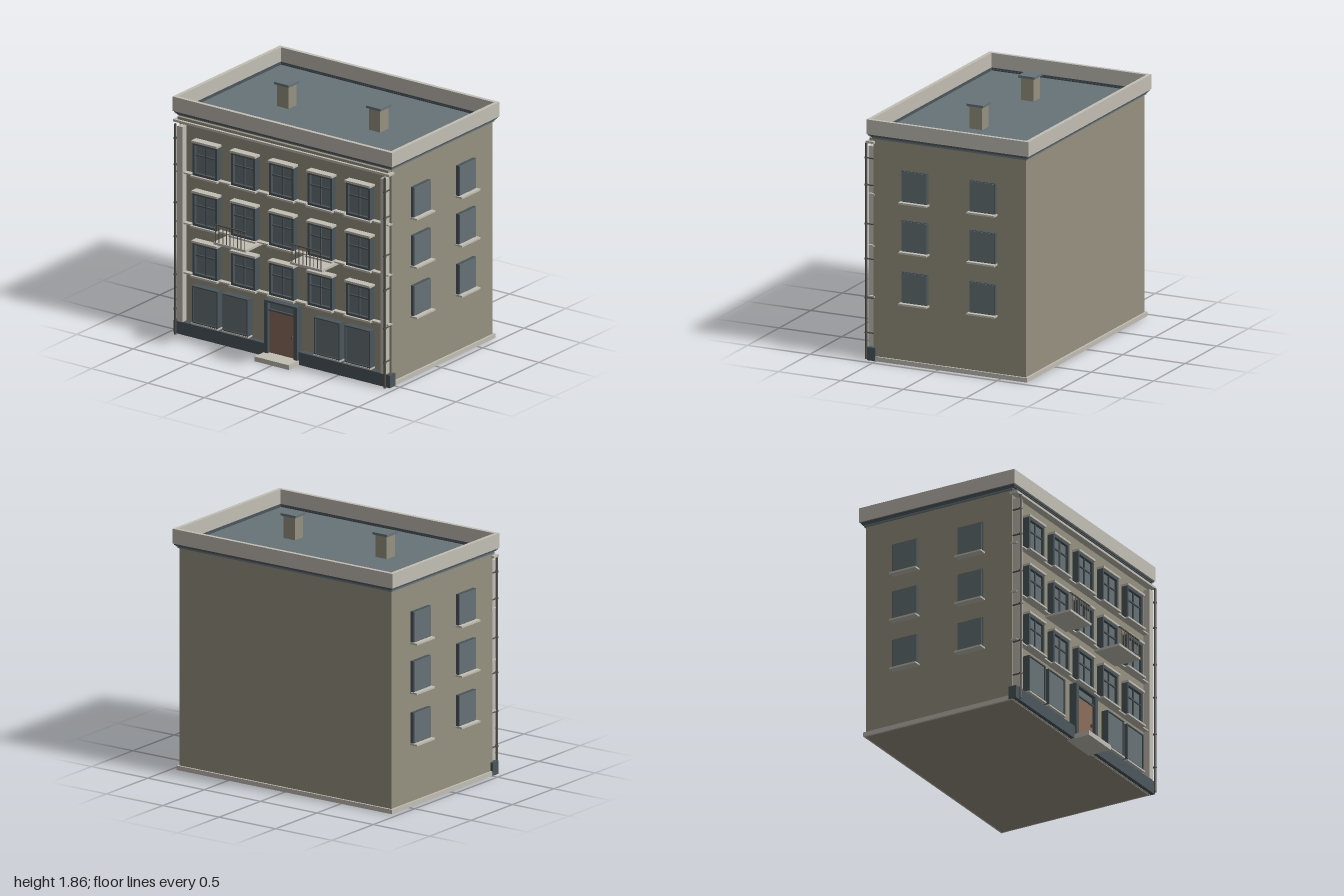
import * as THREE from 'three';

const mat = (name, color) => Object.assign(new THREE.MeshStandardMaterial({ color }), { name });

export function createModel() {
  const wall = mat('stucco', 0x969180);
  const trim = mat('pale stone', 0xc2beb4);
  const slate = mat('slate roof', 0x687479);
  const dark = mat('dark frame', 0x4b565b);
  const glass = mat('window glass', 0x667276);
  const wood = mat('door wood', 0x8a6c5b);
  const metal = mat('dark metal', 0x55534c);

  const model = new THREE.Group();
  model.name = 'apartmentBuilding';
  const group = (name, parent = model) => {
    const g = new THREE.Group();
    g.name = name;
    parent.add(g);
    return g;
  };
  // box given by its minimum and maximum on each axis
  const box = (name, m, x0, x1, y0, y1, z0, z1, parent = model) => {
    const mesh = new THREE.Mesh(new THREE.BoxGeometry(x1 - x0, y1 - y0, z1 - z0), m);
    mesh.position.set((x0 + x1) / 2, (y0 + y1) / 2, (z0 + z1) / 2);
    mesh.name = name;
    parent.add(mesh);
    return mesh;
  };
  const rod = (name, m, r, x, y0, y1, z, parent) => {
    const mesh = new THREE.Mesh(new THREE.CylinderGeometry(r, r, y1 - y0, 10), m);
    mesh.position.set(x, (y0 + y1) / 2, z);
    mesh.name = name;
    parent.add(mesh);
  };
  // hollow rectangle around the roof
  const ring = (name, m, x, y0, y1, zb, zf, t) => {
    const rect = (P, a, b, c) => new P([[-a, b], [a, b], [a, c], [-a, c]].map(p => new THREE.Vector2(...p)));
    const s = rect(THREE.Shape, x, -zf, -zb);
    s.holes.push(rect(THREE.Path, x - t, -zf + t, -zb - t));
    const geo = new THREE.ExtrudeGeometry(s, { depth: y1 - y0, bevelEnabled: false });
    geo.rotateX(-Math.PI / 2).translate(0, y0, 0);
    const mesh = new THREE.Mesh(geo, m);
    mesh.name = name;
    model.add(mesh);
  };

  // main block, base and roof
  box('walls', wall, -0.94, 0.94, 0, 1.66, -0.7, 0.52);
  box('baseCourse', trim, -0.955, 0.955, 0.002, 0.035, -0.715, 0.535);
  box('roof', slate, -0.95, 0.95, 1.655, 1.672, -0.71, 0.53);
  ring('corniceLower', dark, 0.958, 1.67, 1.682, -0.72, 0.545, 0.02);
  ring('corniceUpper', dark, 0.967, 1.68, 1.692, -0.728, 0.552, 0.025);
  ring('parapet', trim, 0.975, 1.69, 1.8, -0.737, 0.56, 0.029);

  // chimneys
  for (const x of [-0.41, 0.405]) {
    const g = group('chimney');
    box('chimneyStack', wall, x - 0.05, x + 0.05, 1.66, 1.84, -0.102, -0.002, g);
    box('chimneyCap', slate, x - 0.065, x + 0.065, 1.84, 1.858, -0.117, 0.013, g);
  }

  // front facade bands, pilasters and plinth
  box('frieze', wall, -0.935, 0.935, 1.635, 1.655, 0.51, 0.555);
  box('friezeMoulding', trim, -0.96, 0.96, 1.618, 1.635, 0.51, 0.575);
  for (const y of [0.475, 0.853, 1.237]) {
    box('stringCourse', trim, -0.945, 0.945, y - 0.005, y + 0.006, 0.51, 0.558);
  }
  for (const s of [-1, 1]) {
    const [a, b] = [s * 0.88, s * 0.925].sort((p, q) => p - q);
    box('pilaster', trim, a, b, 0.1, 1.59, 0.51, 0.57);
    const [c, d] = [s * 0.145, s * 0.96].sort((p, q) => p - q);
    box('plinth', dark, c, d, 0.003, 0.1, 0.5, 0.565);

    // drainpipe with clamps
    const g = group('drainpipe');
    rod('pipe', metal, 0.009, s * 0.93, 0.003, 1.61, 0.585, g);
    for (const y of [0.2, 0.46, 0.75, 1.01, 1.3, 1.5]) {
      rod('pipeClamp', metal, 0.013, s * 0.93, y - 0.005, y + 0.005, 0.585, g);
      box('pipeBracket', metal, s * 0.93 - 0.004, s * 0.93 + 0.004, y - 0.004, y + 0.004, 0.51, 0.585, g);
    }
  }

  // framed opening: four bars around a glass pane
  const frame = (g, x0, x1, y0, y1, t, z) => {
    box('frameLeft', dark, x1 - t, x1, y0, y1, 0.51, z, g);
    box('frameRight', dark, x0, x0 + t, y0, y1, 0.51, z, g);
    box('frameTop', dark, x0 + t, x1 - t, y1 - t, y1, 0.51, z, g);
    box('frameBottom', dark, x0 + t, x1 - t, y0, y0 + t, 0.51, z, g);
  };

  // upper floor windows
  for (const y of [0.482, 0.862, 1.245]) {
    for (const x of [-0.68, -0.34, 0, 0.34, 0.68]) {
      const g = group('frontWindow');
      const top = y + 0.25;
      frame(g, x - 0.108, x + 0.108, y, top, 0.018, 0.57);
      box('pane', glass, x - 0.09, x + 0.09, y + 0.018, top - 0.018, 0.51, 0.548, g);
      box('mullion', dark, x - 0.005, x + 0.005, y + 0.018, top - 0.018, 0.54, 0.558, g);
      box('transomBar', dark, x - 0.09, x + 0.09, y + 0.148, y + 0.158, 0.54, 0.558, g);
      box('lintel', trim, x - 0.113, x + 0.113, top, top + 0.016, 0.51, 0.582, g);
      box('sill', trim, x - 0.118, x + 0.118, y - 0.014, y, 0.51, 0.587, g);
    }
  }

  // shop windows
  for (const x of [-0.678, -0.408, 0.408, 0.678]) {
    const g = group('shopWindow');
    frame(g, x - 0.113, x + 0.113, 0.12, 0.402, 0.009, 0.575);
    box('shopPane', glass, x - 0.104, x + 0.104, 0.129, 0.393, 0.51, 0.566, g);
    box('shopSill', trim, x - 0.117, x + 0.117, 0.108, 0.12, 0.51, 0.58, g);
  }

  // entrance
  const entry = group('entrance');
  for (const s of [-1, 1]) {
    box('doorPost', dark, s * 0.132 - 0.016, s * 0.132 + 0.016, 0.03, 0.44, 0.51, 0.58, entry);
  }
  box('doorHead', dark, -0.116, 0.116, 0.425, 0.44, 0.51, 0.58, entry);
  box('doorTransom', dark, -0.116, 0.116, 0.357, 0.37, 0.51, 0.565, entry);
  box('fanlight', glass, -0.116, 0.116, 0.37, 0.425, 0.51, 0.55, entry);
  box('door', wood, -0.116, 0.116, 0.035, 0.357, 0.51, 0.555, entry);
  box('doorHandle', metal, 0.083, 0.093, 0.185, 0.205, 0.555, 0.568, entry);
  box('doorStep', trim, -0.152, 0.152, 0, 0.036, 0.5, 0.687, entry);

  // balconies with a front railing
  for (const x of [-0.34, 0.338]) {
    const g = group('balcony');
    box('balconySlab', trim, x - 0.143, x + 0.143, 0.832, 0.85, 0.51, 0.733, g);
    box('handrail', metal, x - 0.135, x + 0.135, 0.98, 0.988, 0.721, 0.731, g);
    for (let i = 0; i < 9; i++) {
      rod('baluster', metal, 0.0035, x - 0.13 + i * 0.0325, 0.85, 0.982, 0.726, g);
    }
  }

  // side windows on both end walls
  for (const s of [-1, 1]) {
    const side = (name, m, a, b, y0, y1, z, h, g) =>
      box(name, m, Math.min(s * a, s * b), Math.max(s * a, s * b), y0, y1, z - h, z + h, g);
    for (const y of [0.47, 0.853, 1.222]) {
      for (const z of [0.183, -0.363]) {
        const g = group('sideWindow');
        side('sideFrame', dark, 0.93, 0.965, y, y + 0.23, z, 0.103, g);
        side('sidePane', glass, 0.965, 0.97, y + 0.004, y + 0.226, z, 0.099, g);
        side('sideSill', trim, 0.93, 1, y - 0.013, y, z, 0.111, g);
      }
    }
  }
  return model;
}
